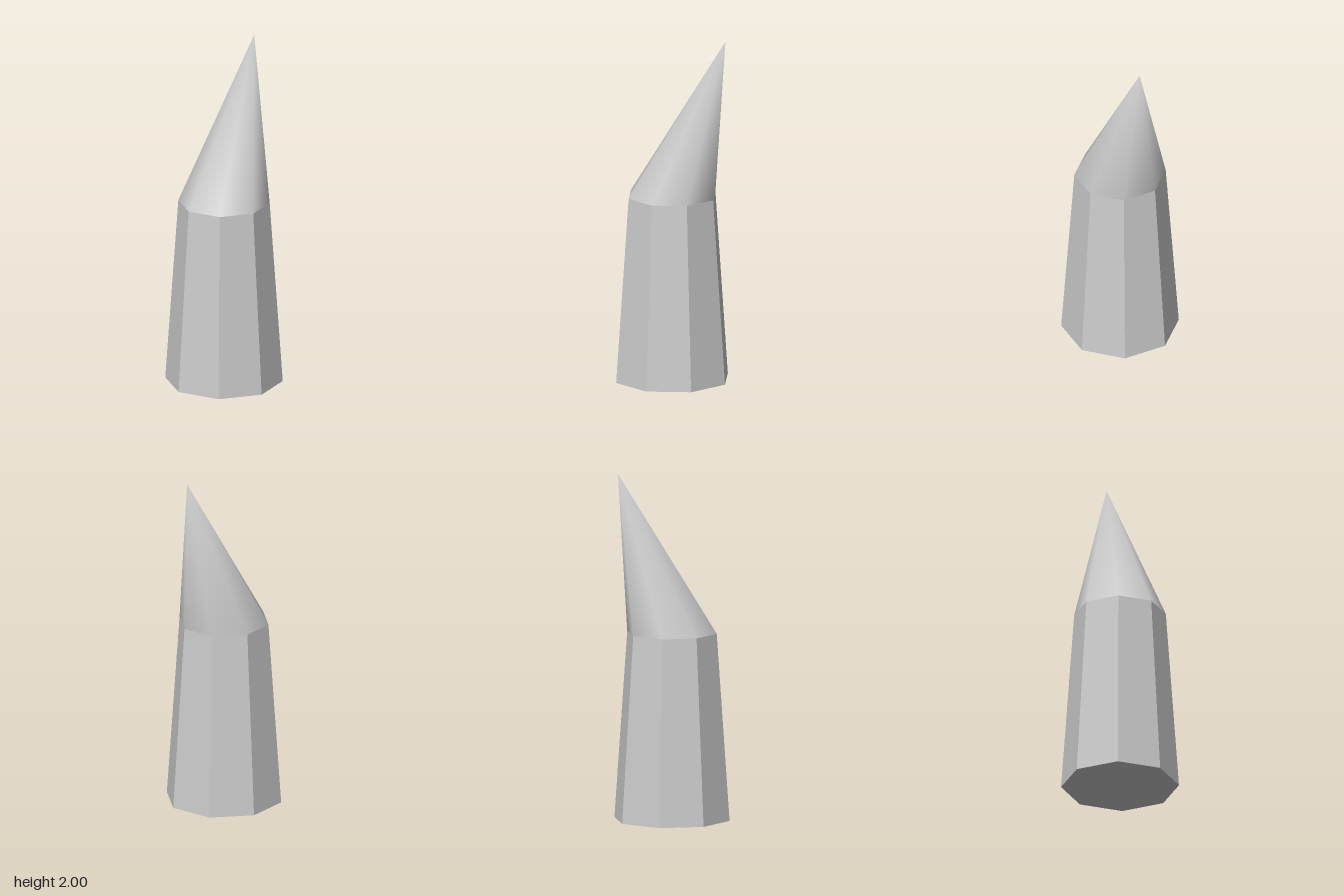
import * as THREE from 'three';
import { mergeVertices } from 'three/addons/utils/BufferGeometryUtils.js';

const SIDES = 8;
const BASE_RADIUS = 0.337;
const TOP_RADIUS = 0.262;
const SHAFT_HEIGHT = 1.08;
const TIP = new THREE.Vector3(0.148, 2, -0.272);

// Eight-sided tapered shaft, faceted and closed at the bottom
function createShaft() {
  const geometry = new THREE.CylinderGeometry(TOP_RADIUS, BASE_RADIUS, SHAFT_HEIGHT, SIDES);
  geometry.translate(0, SHAFT_HEIGHT / 2, 0);
  const material = new THREE.MeshStandardMaterial({ color: 0xcccccc, flatShading: true });
  const shaft = new THREE.Mesh(geometry, material);
  shaft.name = 'shaft';
  return shaft;
}

// Smooth cone, sheared so its point leans to the back left
function createPoint() {
  const height = TIP.y - SHAFT_HEIGHT;
  const cone = new THREE.ConeGeometry(TOP_RADIUS, height, SIDES, 1, true);
  cone.translate(0, height / 2, 0);
  cone.applyMatrix4(new THREE.Matrix4().set(
    1, TIP.x / height, 0, 0,
    0, 1, 0, SHAFT_HEIGHT,
    0, TIP.z / height, 1, 0,
    0, 0, 0, 1
  ));
  // Share the corners so the shading runs smoothly around the cone
  cone.deleteAttribute('normal');
  cone.deleteAttribute('uv');
  const geometry = mergeVertices(cone);
  geometry.computeVertexNormals();
  const point = new THREE.Mesh(geometry, new THREE.MeshStandardMaterial({ color: 0xcccccc }));
  point.name = 'leaningPoint';
  return point;
}

export function createModel() {
  const model = new THREE.Group();
  model.name = 'spike';
  model.add(createShaft(), createPoint());
  return model;
}
